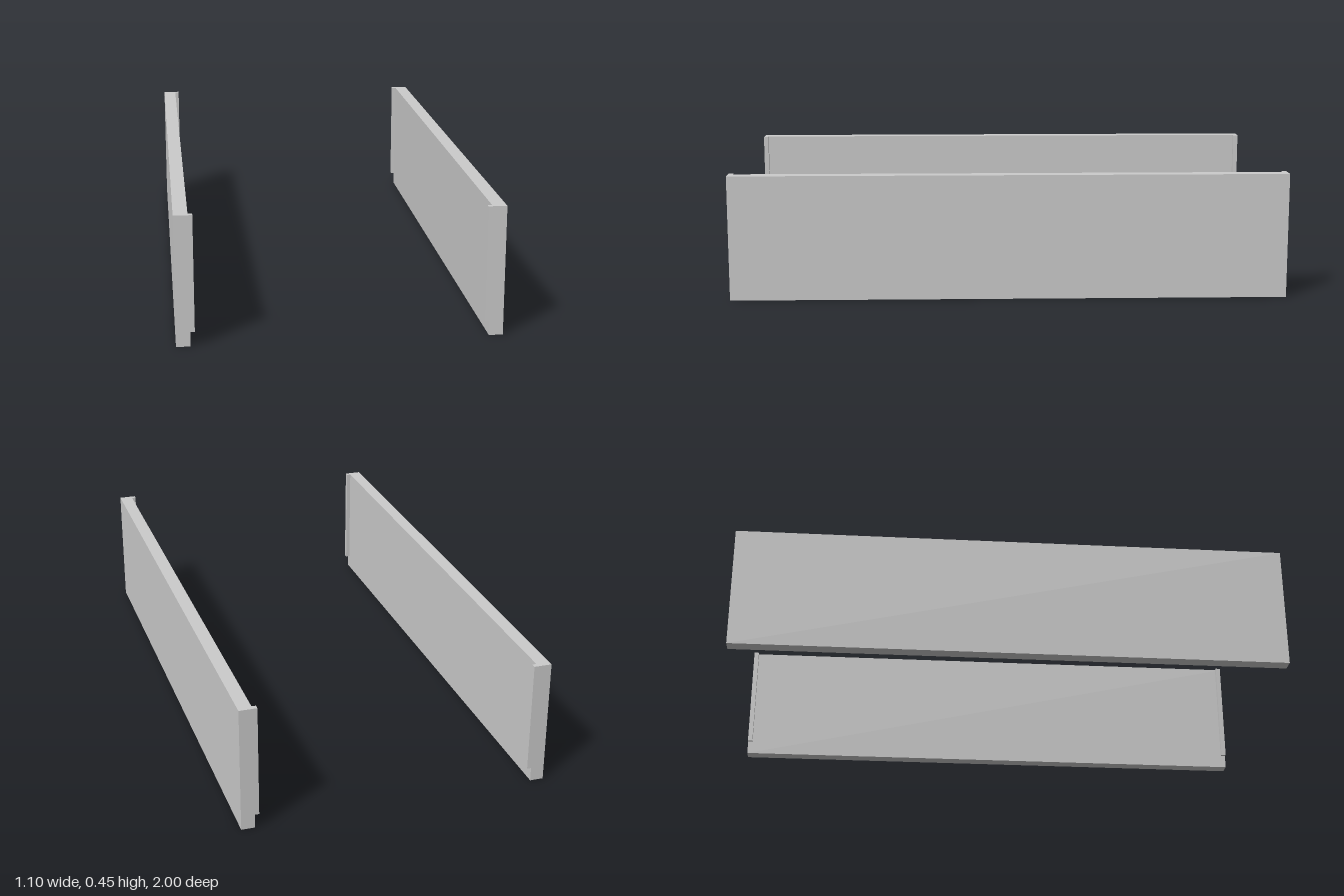
import * as THREE from 'three';

const HEIGHT = 0.45, LENGTH = 2;
const INNER = 0.5, OUTER = 0.548; // x of the panel faces
const LIP_X = 0.485, LIP_BOTTOM = 0.05, LIP_DEPTH = 0.018;

const material = new THREE.MeshStandardMaterial({ color: 0xcccccc, flatShading: true });

// Box given by its minimum and maximum corners
function box(name, [x0, y0, z0], [x1, y1, z1]) {
  const mesh = new THREE.Mesh(new THREE.BoxGeometry(x1 - x0, y1 - y0, z1 - z0), material);
  mesh.position.set((x0 + x1) / 2, (y0 + y1) / 2, (z0 + z1) / 2);
  mesh.name = name;
  return mesh;
}

// Left side (+x): long upright board with a thin lip inside each end
function createSide(name) {
  const side = new THREE.Group();
  side.name = name;
  const end = LENGTH / 2;
  side.add(
    box('panel', [INNER, 0, -end], [OUTER, HEIGHT, end]),
    box('frontLip', [LIP_X, LIP_BOTTOM, end - LIP_DEPTH], [INNER, HEIGHT, end]),
    box('backLip', [LIP_X, LIP_BOTTOM, -end], [INNER, HEIGHT, -end + LIP_DEPTH])
  );
  return side;
}

export function createModel() {
  const model = new THREE.Group();
  model.name = 'sidePanels';
  const left = createSide('leftSide');
  // Front and back match, so a half turn gives the mirrored side
  const right = createSide('rightSide');
  right.rotation.y = Math.PI;
  model.add(left, right);
  return model;
}
